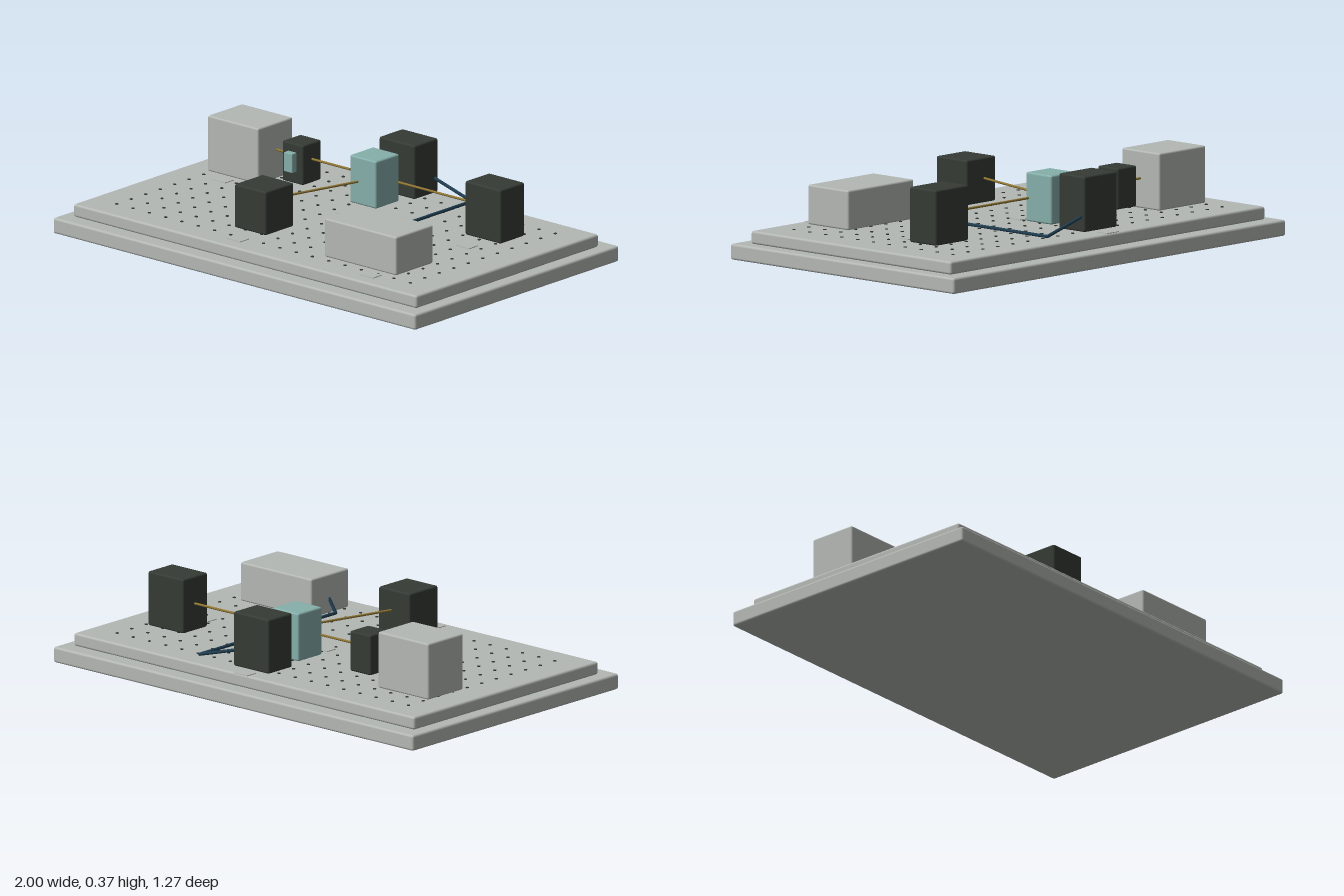
import * as THREE from 'three';
import { RoundedBoxGeometry } from 'three/addons/geometries/RoundedBoxGeometry.js';

const grey = new THREE.MeshStandardMaterial({ name: 'anodised grey', color: 0xb4b8b4 });
const dark = new THREE.MeshStandardMaterial({ name: 'dark housing', color: 0x353b35 });
const teal = new THREE.MeshStandardMaterial({ name: 'teal glass', color: 0x86afab });
const gold = new THREE.MeshStandardMaterial({ name: 'gold beam', color: 0x8f7633 });
const blue = new THREE.MeshStandardMaterial({ name: 'blue cable', color: 0x1f3d50 });

export function createModel() {
  const model = new THREE.Group();
  model.name = 'opticalBench';

  const add = (name, geometry, material, x = 0, y = 0, z = 0) => {
    const mesh = new THREE.Mesh(geometry, material);
    mesh.name = name;
    mesh.position.set(x, y, z);
    model.add(mesh);
    return mesh;
  };

  // Softly bevelled block given by its extents
  const block = (name, material, [x0, x1], [y0, y1], [z0, z1], bevel = 0.008) =>
    add(name, new RoundedBoxGeometry(x1 - x0, y1 - y0, z1 - z0, 2, bevel), material,
      (x0 + x1) / 2, (y0 + y1) / 2, (z0 + z1) / 2);

  // Straight rod between two points
  const rod = (name, material, a, b, radius) => {
    const from = new THREE.Vector3(...a), to = new THREE.Vector3(...b);
    const dir = to.clone().sub(from);
    const mesh = add(name, new THREE.CylinderGeometry(radius, radius, dir.length(), 10), material);
    mesh.position.copy(from).add(to).multiplyScalar(0.5);
    mesh.quaternion.setFromUnitVectors(new THREE.Vector3(0, 1, 0), dir.normalize());
  };

  // Base and breadboard
  block('base', grey, [-1, 1], [0, 0.067], [-0.633, 0.633], 0.01);
  block('breadboard', grey, [-0.947, 0.947], [0.067, 0.122], [-0.566, 0.566], 0.01);

  // Grid of threaded holes, shown as small dark discs
  const columns = 19, rows = 11, pitch = 0.09;
  const holes = new THREE.InstancedMesh(new THREE.CylinderGeometry(0.007, 0.007, 0.003, 8), dark, 0);
  for (let i = 0; i < columns; i++) {
    for (let j = 0; j < rows; j++) {
      add('mountingHole', holes.geometry, dark,
        (i - (columns - 1) / 2) * pitch, 0.1235, (j - (rows - 1) / 2) * pitch);
    }
  }

  // Instruments
  block('lightSource', grey, [-0.825, -0.545], [0.126, 0.366], [-0.345, -0.13]);
  block('shutter', dark, [-0.46, -0.345], [0.15, 0.322], [-0.297, -0.183]);
  block('shutterWindow', teal, [-0.426, -0.38], [0.202, 0.286], [-0.185, -0.155], 0.004);
  block('beamSplitter', teal, [-0.074, 0.072], [0.14, 0.345], [-0.313, -0.167]);
  block('rearMirror', dark, [-0.1, 0.097], [0.136, 0.368], [-0.525, -0.379]);
  block('sideMirror', dark, [0.568, 0.765], [0.136, 0.368], [-0.311, -0.161]);
  block('detector', dark, [-0.188, -0.014], [0.146, 0.334], [0.245, 0.42]);
  block('controller', grey, [0.334, 0.73], [0.136, 0.302], [0.218, 0.448]);

  // Light beams
  const beamY = 0.252;
  const beams = [
    [-0.54, -0.24, -0.135, -0.24],
    [0.133, -0.24, 0.57, -0.24],
    [0, -0.31, 0, -0.38],
    [0, -0.135, -0.1, 0.228],
  ];
  for (const [x0, z0, x1, z1] of beams) {
    rod('beam', gold, [x0, beamY, z0], [x1, beamY, z1], 0.005);
  }

  // Control cable from rear mirror to controller
  const path = [[0.095, 0.2, -0.505], [0.3, 0.142, -0.505], [0.3, 0.142, 0.33], [0.338, 0.2, 0.33]];
  for (let i = 0; i < path.length - 1; i++) {
    rod('cable', blue, path[i], path[i + 1], 0.007);
    if (i > 0) add('cableCorner', new THREE.SphereGeometry(0.007, 10, 8), blue, ...path[i]);
  }

  // Blank station tags
  const tags = [[-0.685, -0.07], [-0.404, -0.07], [-0.003, -0.07], [0.663, -0.067],
    [-0.104, 0.49], [0.633, 0.495], [-0.003, -0.563]];
  const tagShape = new THREE.BoxGeometry(0.072, 0.003, 0.056);
  for (const [x, z] of tags) add('stationTag', tagShape, grey, x, 0.131, z);

  return model;
}
